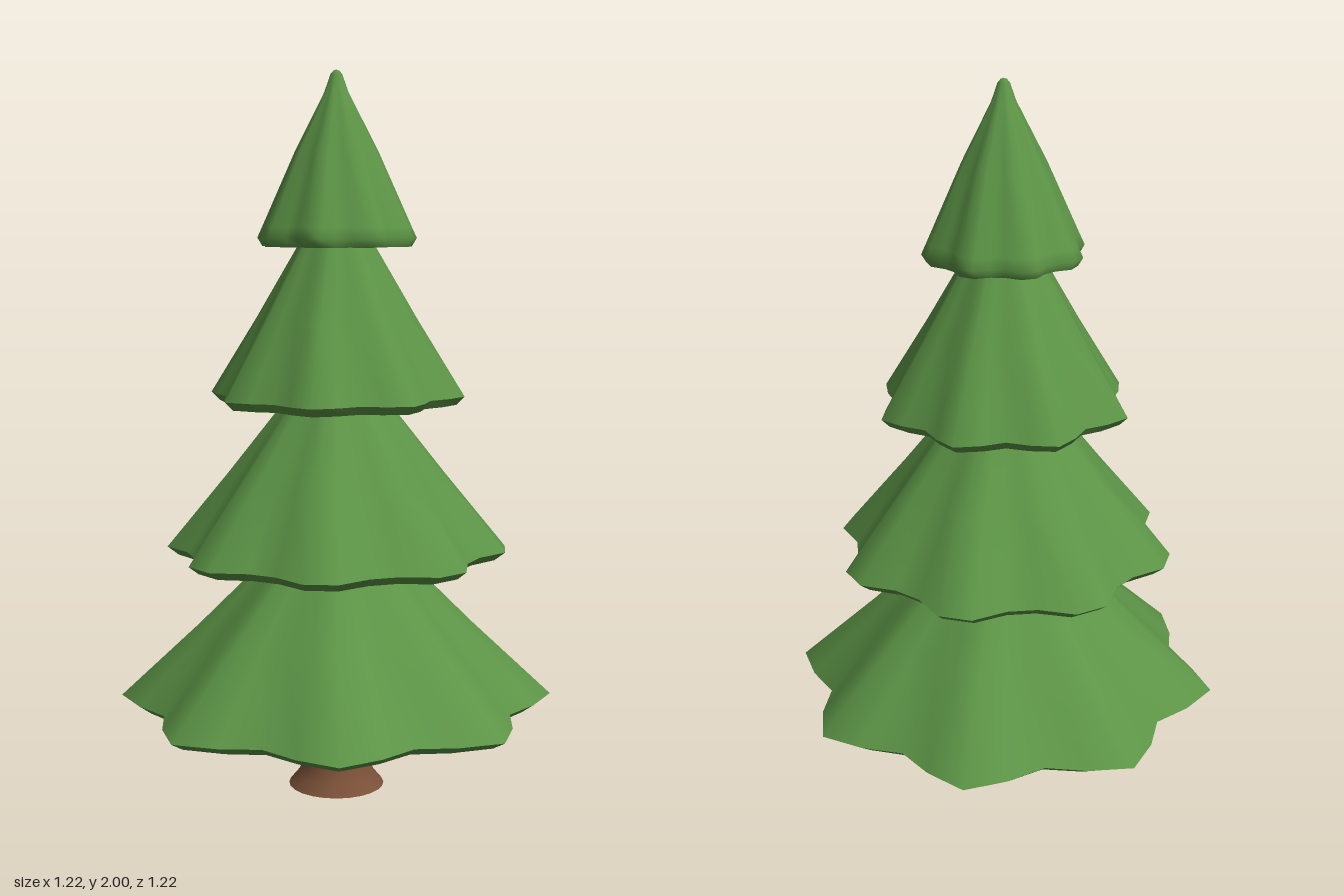
import * as THREE from 'three';
import { mergeVertices } from 'three/addons/utils/BufferGeometryUtils.js';

const LOBES = 8, SEGMENTS = 32, WAVE = 0.088;

// Smooth lathe from [radius, y] points; the radius ripples into lobes that fade towards the axis
function lobedLathe(points, rimRadius, phase) {
  const geo = new THREE.LatheGeometry(points.map(p => new THREE.Vector2(p[0], p[1])), SEGMENTS);
  geo.deleteAttribute('uv');
  geo.deleteAttribute('normal');
  const pos = geo.attributes.position;
  for (let i = 0; i < pos.count; i++) {
    const x = pos.getX(i), z = pos.getZ(i);
    const fade = Math.hypot(x, z) / rimRadius;
    const s = 1 + WAVE * fade * Math.cos(LOBES * Math.atan2(-z, x) + phase);
    pos.setX(i, x * s);
    pos.setZ(i, z * s);
  }
  const merged = mergeVertices(geo, 1e-5);
  merged.computeVertexNormals();
  return merged;
}

function makeMaterial(name, color) {
  const material = new THREE.MeshStandardMaterial({ color });
  material.name = name;
  return material;
}

export function createModel() {
  const model = new THREE.Group();
  model.name = 'pineTree';
  const needleGreen = makeMaterial('needleGreen', 0x5c9446);
  const shadeGreen = makeMaterial('shadeGreen', 0x345f34);
  const barkBrown = makeMaterial('barkBrown', 0x7a5038);
  const darkBrown = makeMaterial('darkBrown', 0x4f3222);

  const add = (parent, name, geo, mat) => {
    const mesh = new THREE.Mesh(geo, mat);
    mesh.name = name;
    parent.add(mesh);
  };

  // Trunk with flared foot and a dark cut end
  const trunkProfile = [[0.135, 0], [0.11, 0.03], [0.095, 0.06], [0.088, 0.095], [0.088, 0.4]];
  add(model, 'trunk', new THREE.LatheGeometry(trunkProfile.map(p => new THREE.Vector2(p[0], p[1])), 24), barkBrown);
  const base = new THREE.CircleGeometry(0.135, 24);
  base.rotateX(Math.PI / 2);
  add(model, 'trunkBase', base, darkBrown);

  // Four foliage tiers, each turned a little further than the one below
  const radii = [0.56, 0.446, 0.328, 0.209];
  radii.forEach((r, i) => {
    const tier = new THREE.Group();
    tier.name = 'foliageTier' + (i + 1);
    const y = 0.26 + 0.43 * i;
    const phase = i * Math.PI / 4;
    const lip = [r * 0.94, y - 0.023];
    const edge = [r, y];
    if (i < 3) {
      const crown = [edge, [r * 0.65, y + 0.21], [r * 0.3, y + 0.42], [r * 0.07, y + 0.55], [0, y + 0.56]];
      add(tier, 'canopy', lobedLathe(crown, r, phase), needleGreen);
      add(tier, 'rim', lobedLathe([lip, edge], r, phase), needleGreen);
    } else {
      // The steep top tier rolls softly over its rim
      const crown = [lip, edge, [r * 0.94, y + 0.03], [r * 0.54, 1.78], [0.033, 1.94], [0.016, 1.988], [0.008, 1.997], [0, 2]];
      add(tier, 'canopy', lobedLathe(crown, r, phase), needleGreen);
    }
    add(tier, 'underside', lobedLathe([[0, y + 0.04], [r * 0.55, y + 0.015], lip], r, phase), shadeGreen);
    model.add(tier);
  });
  return model;
}
